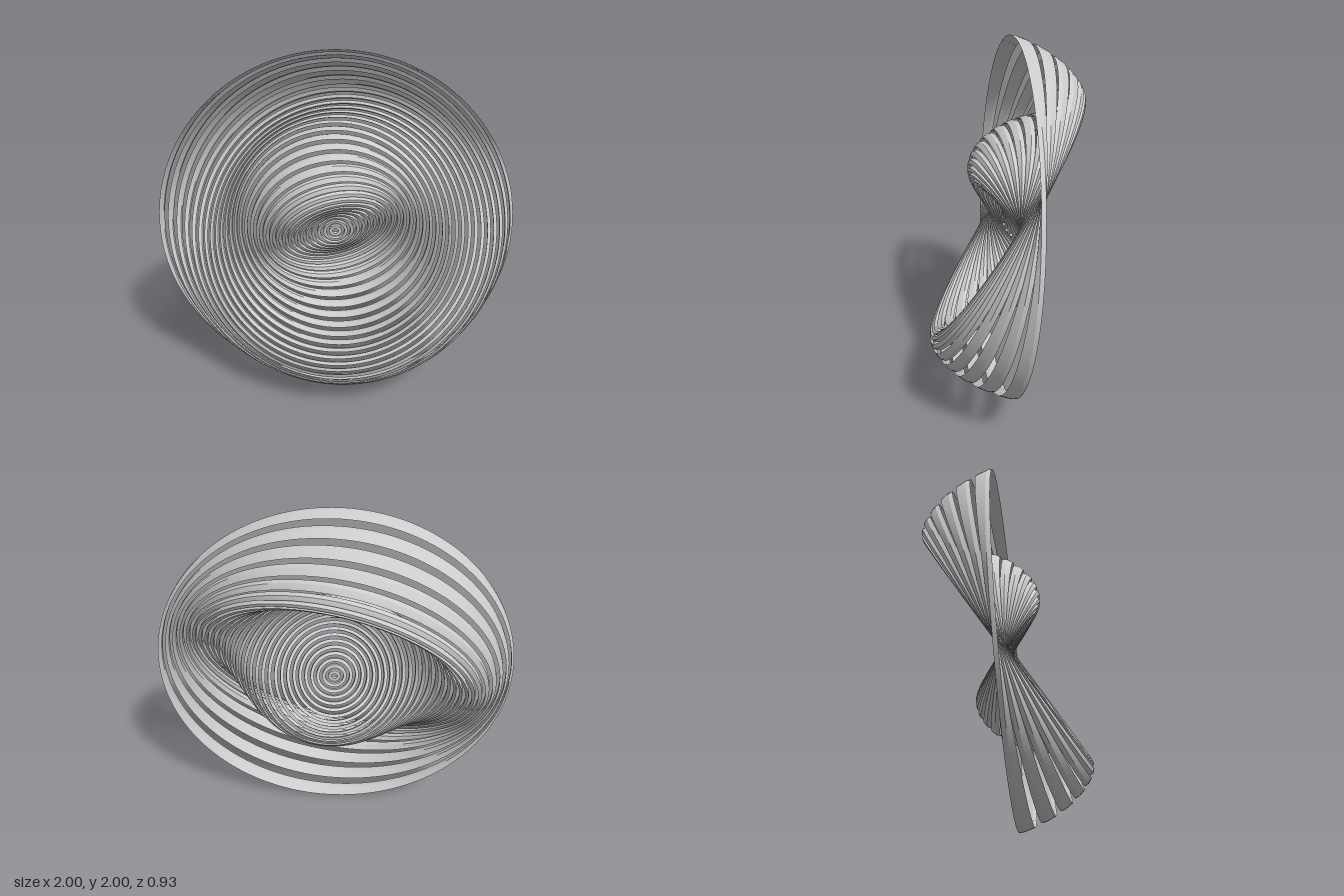
import * as THREE from 'three';
import { ParametricGeometry } from 'three/addons/geometries/ParametricGeometry.js';
import { mergeGeometries } from 'three/addons/utils/BufferGeometryUtils.js';

const RINGS = 29;            // concentric bands
const STEP = 1 / RINGS;      // radius step between bands
const BAND = 0.018;          // radial width of each band
const HALF = 0.011;          // half the depth of each band
const SWING = THREE.MathUtils.degToRad(35.5); // largest tilt
const HEADING = THREE.MathUtils.degToRad(112); // direction of the tilt in the xy plane

// Tilt swings through one full wave from the centre to the rim
const tiltAt = (r) => SWING * Math.sin(2 * Math.PI * (r - 0.0155));

// Point on a circle of radius r, raised by h along its axis and tilted about one diameter
function wavePoint(r, h, angle, target) {
  const tilt = tiltAt(r);
  const along = r * Math.sin(angle);              // on the tilt axis
  const across = r * Math.cos(angle);             // square to the tilt axis
  const flat = across * Math.cos(tilt) - h * Math.sin(tilt);
  target.set(
    flat * Math.cos(HEADING) + along * Math.sin(HEADING),
    flat * Math.sin(HEADING) - along * Math.cos(HEADING),
    across * Math.sin(tilt) + h * Math.cos(tilt)
  );
}

// Closed band of rectangular section, one strip per side so the edges stay sharp
function bandGeometry(outer) {
  const inner = outer - BAND;
  const corners = [[outer, -HALF], [outer, HALF], [inner, HALF], [inner, -HALF]];
  const sides = corners.map(([r0, h0], k) => {
    const [r1, h1] = corners[(k + 1) % 4];
    return new ParametricGeometry(
      (u, v, target) => wavePoint(r0 + v * (r1 - r0), h0 + v * (h1 - h0), -u * 2 * Math.PI, target),
      144, 2
    );
  });
  return mergeGeometries(sides);
}

export function createModel() {
  const group = new THREE.Group();
  group.name = 'tiltedRingSculpture';
  const material = new THREE.MeshStandardMaterial({ color: 0xcccccc });

  // Twisted bands, from the rim to the centre
  for (let i = 0; i < RINGS; i++) {
    const ring = new THREE.Mesh(bandGeometry(1 - i * STEP), material);
    ring.name = `ring${i + 1}`;
    ring.position.y = 1;
    group.add(ring);
  }
  return group;
}
